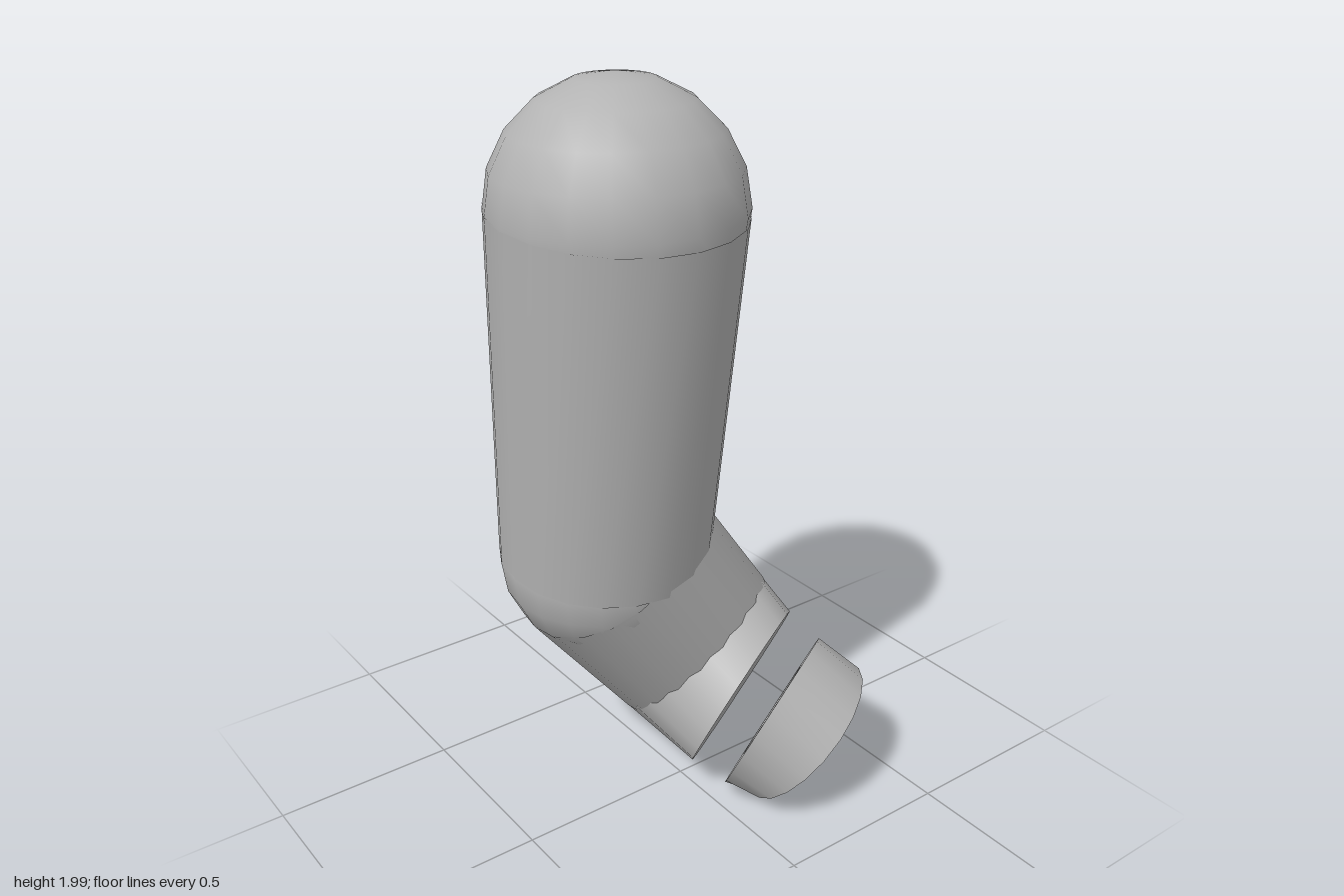
import * as THREE from 'three';

const SIDES = 20;
const V = (x, y, z) => new THREE.Vector3(x, y, z);
const REF = V(0.3, 0.5, -0.8);

// A circle in space: centre, facing direction and radius
const ring = (centre, normal, radius) => ({ centre, normal: normal.clone().normalize(), radius });

function ringPoints({ centre, normal, radius }) {
  const u = REF.clone().addScaledVector(normal, -REF.dot(normal)).normalize();
  const v = normal.clone().cross(u);
  return Array.from({ length: SIDES }, (_, i) => {
    const a = (i / SIDES) * Math.PI * 2;
    return centre.clone()
      .addScaledVector(u, Math.cos(a) * radius)
      .addScaledVector(v, Math.sin(a) * radius);
  });
}

// Skin between two circles, facing outward when going along their normals
function loft(a, b) {
  const index = [];
  for (let i = 0; i < SIDES; i++) {
    const j = (i + 1) % SIDES;
    index.push(i, j, SIDES + j, i, SIDES + j, SIDES + i);
  }
  const g = new THREE.BufferGeometry().setFromPoints([...ringPoints(a), ...ringPoints(b)]);
  g.setIndex(index);
  g.computeVertexNormals();
  return g;
}

export function createModel() {
  const group = new THREE.Group();
  const grey = new THREE.MeshStandardMaterial({ color: 0xb3b3b3 });
  grey.name = 'grey';
  const add = (name, geometry) => {
    const mesh = new THREE.Mesh(geometry, grey);
    mesh.name = name;
    group.add(mesh);
    return mesh;
  };

  // Centre line and radii
  const top = V(-0.05, 1.68, 0.15), elbow = V(-0.145, 0.73, 0.145);
  const heel = V(-0.13, 0.36, -0.13), end = V(0.075, 0.28, -0.16);
  const cut = V(0.78, -0.43, -0.45).normalize();
  const rTop = 0.32, rElbow = 0.285, rHeel = 0.27, rEnd = 0.25;

  const limb = (name, a, ra, b, rb) => {
    const axis = b.clone().sub(a);
    add(name, loft(ring(a, axis, ra), ring(b, axis, rb)));
  };
  limb('upperTube', top, rTop, elbow, rElbow);
  limb('lowerTube', elbow, rElbow, heel, rHeel);

  // Rounded joints; any part beyond the end cut is pressed flat
  const ball = (name, centre, radius) => {
    const g = new THREE.SphereGeometry(radius, SIDES, 10);
    g.translate(centre.x, centre.y, centre.z);
    const p = g.attributes.position, q = V(0, 0, 0);
    let pressed = false;
    for (let i = 0; i < p.count; i++) {
      q.fromBufferAttribute(p, i);
      const over = q.clone().sub(end).dot(cut) + 0.02;
      if (over > 0 && q.y < 0.7) {
        q.addScaledVector(cut, -over);
        p.setXYZ(i, q.x, q.y, q.z);
        pressed = true;
      }
    }
    if (pressed) g.computeVertexNormals();
    add(name, g);
  };
  ball('roundedTop', top, rTop);
  ball('elbowJoint', elbow, rElbow);
  ball('heelJoint', heel, rHeel);

  // Short end section with a slanted flat face
  add('endTube', loft(ring(heel, end.clone().sub(heel), rHeel), ring(end, cut, rEnd)));
  add('endFace', loft(ring(end, cut, rEnd), ring(end, cut, 0.0001)));

  // Detached wedge-shaped ring with a hole through it
  const back = V(0.17, 0.235, -0.195), front = V(0.24, 0.18, -0.26);
  const face = V(0.5, -0.66, -0.56);
  const loop = [
    ring(back, cut, 0.24), ring(front, face, 0.23),
    ring(front, face, 0.14), ring(back, cut, 0.15),
  ];
  ['ringOuterWall', 'ringFrontFace', 'ringInnerWall', 'ringBackFace'].forEach((name, i) => {
    add(name, loft(loop[i], loop[(i + 1) % 4]));
  });

  return group;
}
